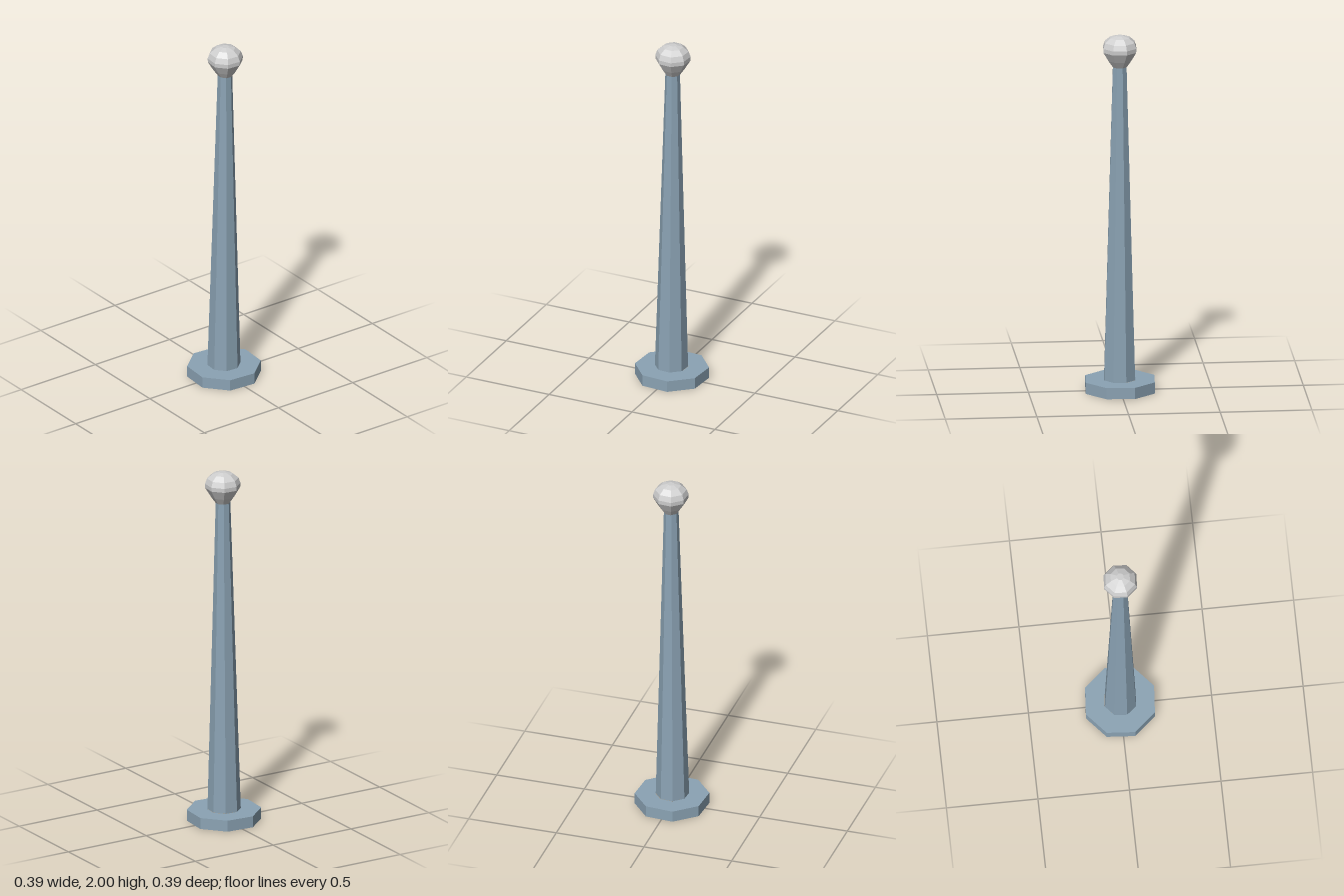
import * as THREE from 'three';

const SIDES = 8;
const TURN = THREE.MathUtils.degToRad(18.3);

// Eight-sided turned part from [radius, height] pairs
function turned(name, profile, material) {
  const points = profile.map(([r, y]) => new THREE.Vector2(r, y));
  let geometry = new THREE.LatheGeometry(points, SIDES, TURN).toNonIndexed();
  geometry.computeVertexNormals();
  const mesh = new THREE.Mesh(geometry, material);
  mesh.name = name;
  return mesh;
}

export function createModel() {
  const steel = new THREE.MeshStandardMaterial({
    name: 'blue grey steel', color: 0x8ba3b4, flatShading: true, side: THREE.DoubleSide,
  });
  const pale = new THREE.MeshStandardMaterial({
    name: 'pale grey', color: 0xcfcfcf, flatShading: true, side: THREE.DoubleSide,
  });

  const group = new THREE.Group();
  group.name = 'post';

  // Hollow foot: outer rim and top plate with a central hole
  const foot = turned('foot', [[0.203, 0], [0.203, 0.063], [0.091, 0.063]], steel);

  // Open tapered shaft, leaning very slightly
  const shaft = turned('shaft', [[0.091, 0.063], [0.04, 1.83]], steel);
  const p = shaft.geometry.attributes.position;
  for (let i = 0; i < p.count; i++) {
    const t = (p.getY(i) - 0.063) / 1.767;
    p.setX(i, p.getX(i) - 0.002 + 0.007 * t);
    p.setZ(i, p.getZ(i) + 0.002);
  }
  shaft.geometry.computeVertexNormals();

  // Rounded knob with a flared neck
  const knob = turned('knob', [
    [0.04, 1.825], [0.066, 1.862], [0.096, 1.912], [0.097, 1.935],
    [0.086, 1.965], [0.056, 1.99], [0.02, 2], [0, 2],
  ], pale);
  knob.position.set(0.007, 0, 0.002);

  group.add(foot, shaft, knob);
  return group;
}
